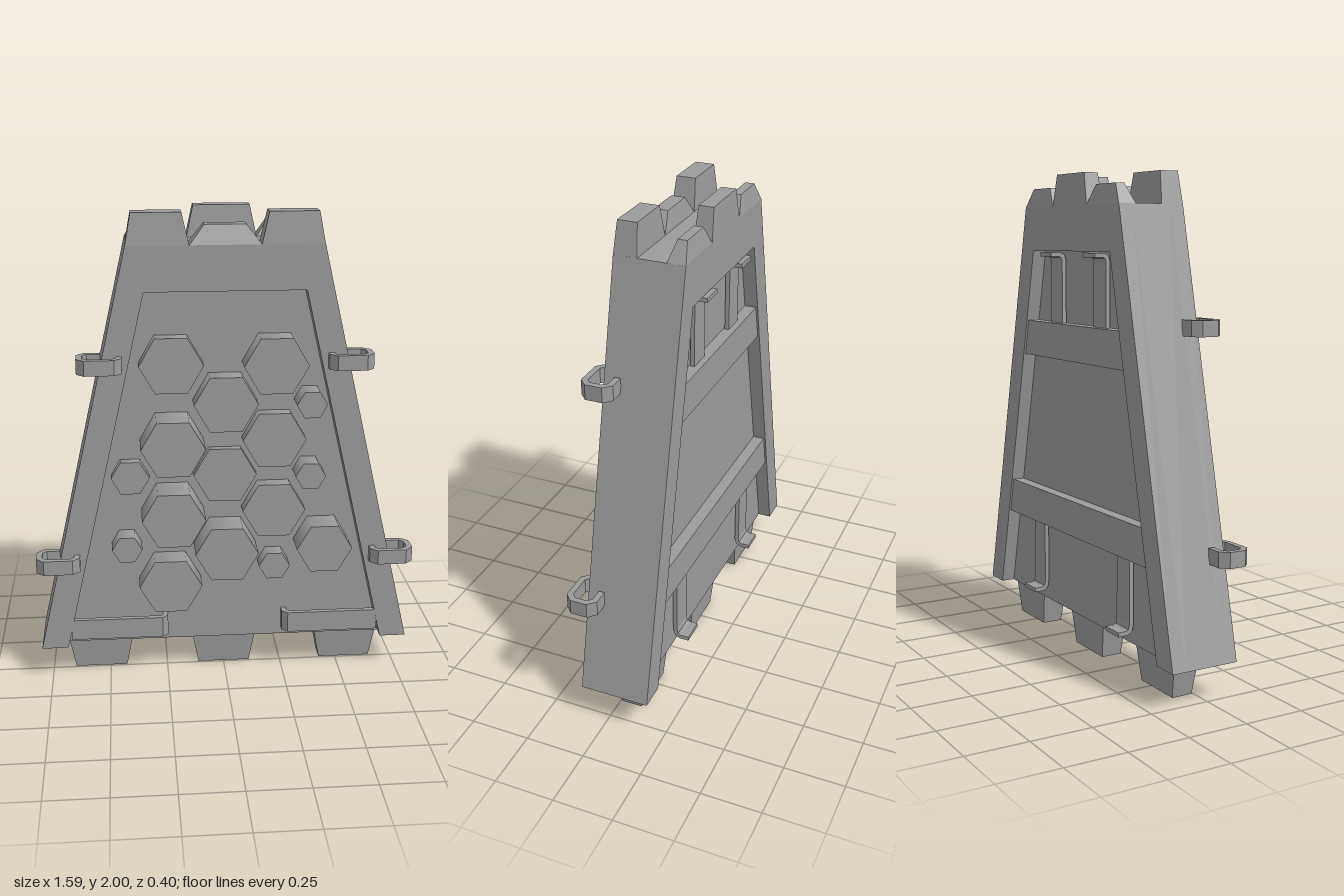
import * as THREE from 'three';

const GREY = 0x9b9b9b;
const flat = new THREE.MeshStandardMaterial({ color: GREY, flatShading: true });
const smooth = new THREE.MeshStandardMaterial({ color: GREY });

// Half-widths of the tapering slab and of its recessed panel at height y
const outer = (y) => 0.79 - (y - 0.15) * (0.395 / 1.72);
const inner = (y) => 0.678 - (y - 0.15) * (0.353 / 1.54);
const BOTTOM = 0.15, TOP = 1.873, PANEL_TOP = 1.69;
const FRONT = 0.105, FLOOR = 0.045, BACK_FLOOR = -0.125, BACK = -0.183;

const shapeOf = (pts) => new THREE.Shape(pts.map(([x, y]) => new THREE.Vector2(x, y)));
const extrude = (shape, depth) => new THREE.ExtrudeGeometry(shape, { depth, bevelEnabled: false });

// Symmetric trapezoid between two heights, following a half-width rule
const trapezoid = (w, y0, y1) => shapeOf([[-w(y0), y0], [w(y0), y0], [w(y1), y1], [-w(y1), y1]]);

// Block whose top rectangle differs from its bottom one; each is [x0, x1, z0, z1]
function taperedBlock(y0, y1, low, high) {
  const geo = new THREE.BoxGeometry(1, 1, 1);
  const p = geo.attributes.position;
  for (let i = 0; i < p.count; i++) {
    const [x0, x1, z0, z1] = p.getY(i) > 0 ? high : low;
    p.setXYZ(i, p.getX(i) > 0 ? x1 : x0, p.getY(i) > 0 ? y1 : y0, p.getZ(i) > 0 ? z1 : z0);
  }
  geo.computeVertexNormals();
  return geo;
}

// Flat bar of given thickness bent along a polyline, extruded to a width
function bentBar(path, thickness, width) {
  const pts = path.map(([x, y]) => new THREE.Vector2(x, y));
  const dirs = pts.slice(1).map((p, i) => p.clone().sub(pts[i]).normalize());
  const a = [], b = [];
  pts.forEach((p, i) => {
    const d0 = dirs[Math.max(i - 1, 0)], d1 = dirs[Math.min(i, dirs.length - 1)];
    const n = new THREE.Vector2(-d0.y - d1.y, d0.x + d1.x).normalize();
    const k = thickness / 2 / (n.x * -d0.y + n.y * d0.x);
    a.push(p.clone().addScaledVector(n, k));
    b.unshift(p.clone().addScaledVector(n, -k));
  });
  return extrude(new THREE.Shape([...a, ...b]), width).translate(0, 0, -width / 2);
}
const layFlat = (geo, y) => geo.rotateX(Math.PI / 2).translate(0, y, 0); // path in x, z
const standUp = (geo, x) => geo.rotateY(-Math.PI / 2).translate(x, 0, 0); // path in z, y

export function createModel() {
  const model = new THREE.Group();
  const add = (name, geo, material = flat) => {
    const mesh = new THREE.Mesh(geo, material);
    mesh.name = name;
    model.add(mesh);
  };

  // Core slab, with a raised frame on both faces that is open at the bottom
  add('core', extrude(trapezoid(outer, BOTTOM, TOP), FLOOR - BACK_FLOOR).translate(0, 0, BACK_FLOOR));
  const frame = shapeOf([
    [-outer(BOTTOM), BOTTOM], [-inner(BOTTOM), BOTTOM], [-inner(PANEL_TOP), PANEL_TOP],
    [inner(PANEL_TOP), PANEL_TOP], [inner(BOTTOM), BOTTOM], [outer(BOTTOM), BOTTOM],
    [outer(TOP), TOP], [-outer(TOP), TOP],
  ]);
  add('frontFrame', extrude(frame, FRONT - FLOOR).translate(0, 0, FLOOR));
  add('backFrame', extrude(frame, BACK_FLOOR - BACK).translate(0, 0, BACK));

  // Crenellated top edge: two rows with alternating tall and low blocks
  const f = [0.008, FRONT], b = [BACK, -0.108];
  add('frontCentreTooth', taperedBlock(TOP, 1.95, [-0.143, 0.143, ...f], [-0.083, 0.083, 0.022, 0.08]));
  add('backCentreTooth', taperedBlock(TOP, 2, [-0.143, 0.143, ...b], [-0.115, 0.115, -0.177, -0.116]));
  for (const s of [-1, 1]) {
    const span = (x0, x1) => (s > 0 ? [x0, x1] : [-x1, -x0]);
    add('frontSideTooth', taperedBlock(TOP, 2, [...span(0.143, 0.394), ...f], [...span(0.172, 0.37), 0.016, 0.096]));
    add('backSideTooth', taperedBlock(TOP, 1.95, [...span(0.143, 0.394), ...b], [...span(0.195, 0.345), -0.168, -0.13]));
  }

  // Feet
  for (const x of [-0.54, 0, 0.54]) {
    add('foot', taperedBlock(0, BOTTOM, [x - 0.112, x + 0.112, -0.095, -0.007], [x - 0.14, x + 0.14, -0.105, 0.006]));
  }

  // Hexagonal studs on the front panel, softly shaded round the sides: x, y, radius, front z
  const studs = [
    [-0.22, 1.39, 0.132, 0.11], [0.203, 1.39, 0.132, 0.148], [0, 1.23, 0.132, 0.135],
    [-0.22, 1.065, 0.132, 0.2], [0.203, 1.065, 0.132, 0.105], [0, 0.91, 0.132, 0.08],
    [-0.22, 0.757, 0.132, 0.2], [0.203, 0.757, 0.132, 0.11], [0, 0.595, 0.132, 0.185],
    [-0.235, 0.443, 0.132, 0.155], [0.412, 0.6, 0.117, 0.17], [0.35, 1.225, 0.063, 0.148],
    [0.35, 0.918, 0.063, 0.148], [-0.395, 0.91, 0.08, 0.09], [-0.415, 0.61, 0.063, 0.14],
    [0.207, 0.508, 0.066, 0.12],
  ];
  for (const [x, y, r, z] of studs) {
    const depth = z - FLOOR + 0.01;
    const geo = new THREE.CylinderGeometry(r, r, depth, 6).rotateY(Math.PI / 6).rotateX(Math.PI / 2);
    add('hexStud', geo.translate(x, y, z - depth / 2), smooth);
  }

  // Horizontal ribs across the back panel, just below the frame's surface
  for (const [y0, y1] of [[0.505, 0.655], [1.24, 1.39]]) {
    add('backRib', extrude(trapezoid(inner, y0, y1), BACK_FLOOR - BACK - 0.008).translate(0, 0, BACK + 0.008));
  }

  for (const s of [-1, 1]) {
    // Clips hooked around the front corners
    for (const y of [0.55, 1.402]) {
      const e = outer(y);
      const path = [
        [e - 0.073, 0.095], [e - 0.073, 0.132], [e - 0.05, 0.154], [e + 0.06, 0.154],
        [e + 0.085, 0.13], [e + 0.085, 0.07], [e + 0.06, 0.046], [e, 0.046],
      ];
      add('cornerClip', layFlat(bentBar(path.map(([x, z]) => [s * x, z]), 0.024, 0.063), y));
    }
    // Low brackets at the foot of the front panel
    const bracket = [[0.66, 0.091], [0.275, 0.091], [0.258, 0.075], [0.258, 0.04]];
    add('frontBracket', layFlat(bentBar(bracket.map(([x, z]) => [s * x, z]), 0.022, 0.09), 0.23));
  }

  // Hooked straps on the back, upper pair bent out at the top, lower pair at the bottom
  const upper = [[-0.14, 1.36], [-0.14, 1.65], [-0.146, 1.669], [-0.162, 1.676], [-0.2, 1.676]];
  const lower = [[-0.14, 0.52], [-0.14, 0.235], [-0.146, 0.21], [-0.162, 0.201], [-0.2, 0.201]];
  for (const x of [-0.19, 0.177]) add('upperBackStrap', standUp(bentBar(upper, 0.018, 0.1), x + 0.0));
  for (const x of [-0.374, 0.352]) add('lowerBackStrap', standUp(bentBar(lower, 0.018, 0.1), x));
  return model;
}
